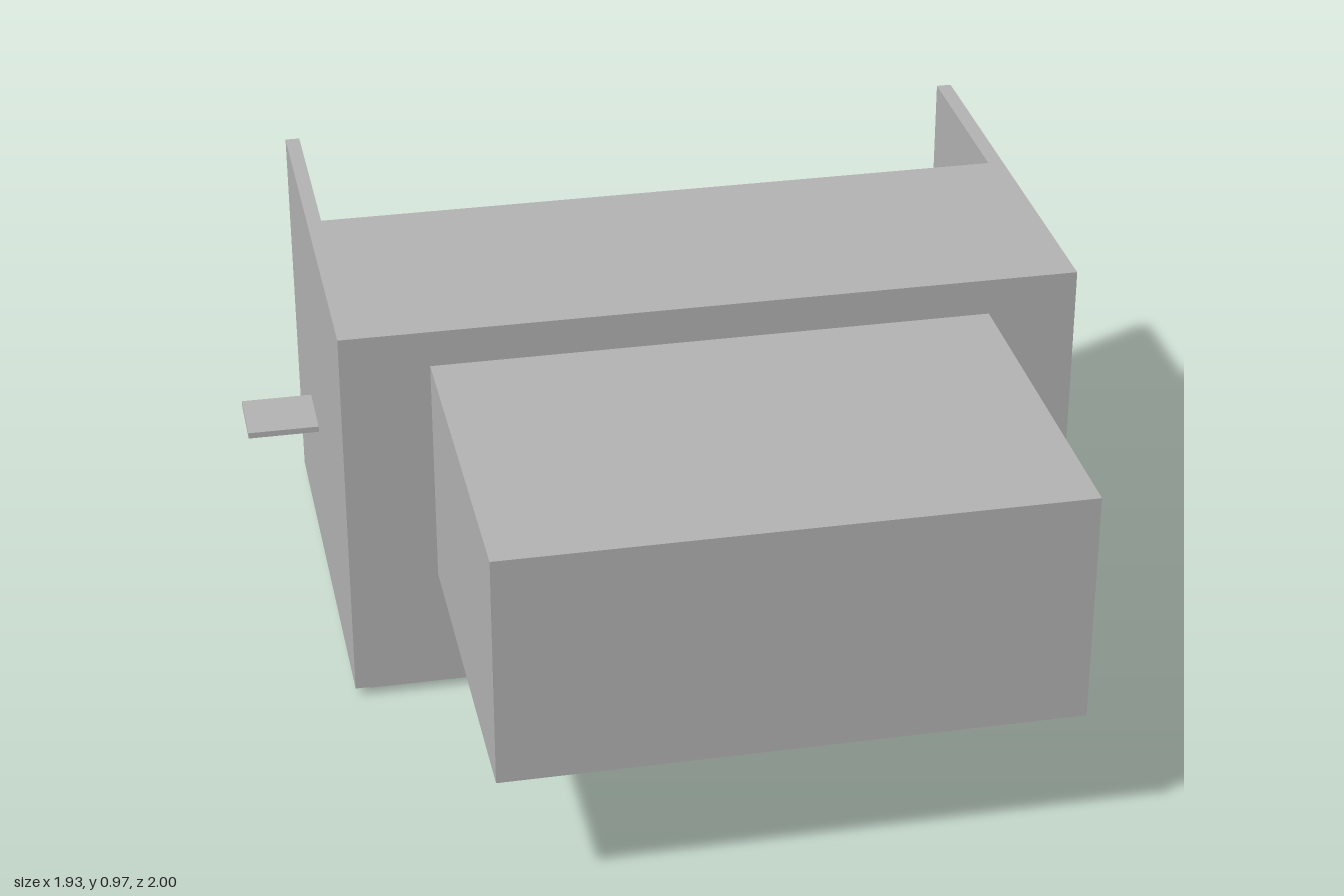
import * as THREE from 'three';

export function createModel() {
  const model = new THREE.Group();
  const grey = new THREE.MeshStandardMaterial({ color: 0xb2b2b2 });
  grey.name = 'plain grey';

  // Box given by its limits on each axis
  const box = (name, [x0, x1], [y0, y1], [z0, z1], parent = model) => {
    const mesh = new THREE.Mesh(new THREE.BoxGeometry(x1 - x0, y1 - y0, z1 - z0), grey);
    mesh.position.set((x0 + x1) / 2, (y0 + y1) / 2, (z0 + z1) / 2);
    mesh.name = name;
    parent.add(mesh);
    return mesh;
  };

  // Main cabinet: side panels enclose a front block and a rear shelf
  const cabinet = new THREE.Group();
  cabinet.name = 'cabinet';
  model.add(cabinet);
  const inner = [-0.755, 0.925];
  box('rightPanel', [-0.79, -0.755], [0.022, 0.968], [-1, 0.12], cabinet);
  box('leftPanel', [0.925, 0.962], [0.022, 0.968], [-1, 0.12], cabinet);
  box('frontBlock', inner, [0.07, 0.968], [-0.51, 0.12], cabinet);
  box('rearPanel', inner, [0.022, 0.635], [-1, -0.965], cabinet);
  box('rearShelf', inner, [0.6, 0.635], [-0.965, -0.51], cabinet);

  // Underside: recessed tray and deep rear pocket
  box('frontLip', inner, [0.022, 0.07], [0.08, 0.12], cabinet);
  box('floorPad', [-0.755, -0.435], [0.022, 0.07], [-0.51, 0.08], cabinet);
  box('pocketRib', [-0.435, 0.7], [0.022, 0.07], [-0.51, -0.49], cabinet);
  box('pocketEnd', [0.7, 0.925], [0.07, 0.6], [-0.965, -0.51], cabinet);
  box('footPlate', [-0.755, -0.48], [0, 0.022], [-0.47, 0.09], cabinet);

  // Projecting front box with a small ledge beneath
  box('frontBox', [-0.58, 0.75], [0.32, 0.88], [0.12, 1]);
  box('frontLedge', [-0.345, 0.572], [0.25, 0.32], [0.12, 0.228]);

  // Small stepped plate on the ledge
  const steps = new THREE.Shape();
  steps.moveTo(0.505, 0.319);
  steps.lineTo(0.505, 0.267);
  for (let i = 0; i < 3; i++) {
    const x = 0.525 + i * 0.019;
    steps.lineTo(x, 0.267 + i * 0.017);
    steps.lineTo(x, 0.284 + i * 0.017);
  }
  steps.lineTo(0.563, 0.319);
  const plate = new THREE.Mesh(
    new THREE.ExtrudeGeometry(steps, { depth: 0.003, bevelEnabled: false }), grey);
  plate.position.z = 0.228;
  plate.name = 'steppedPlate';
  model.add(plate);

  // Flat side tab
  box('sideTab', [-0.966, -0.79], [0.39, 0.405], [-0.67, -0.5]);

  return model;
}
